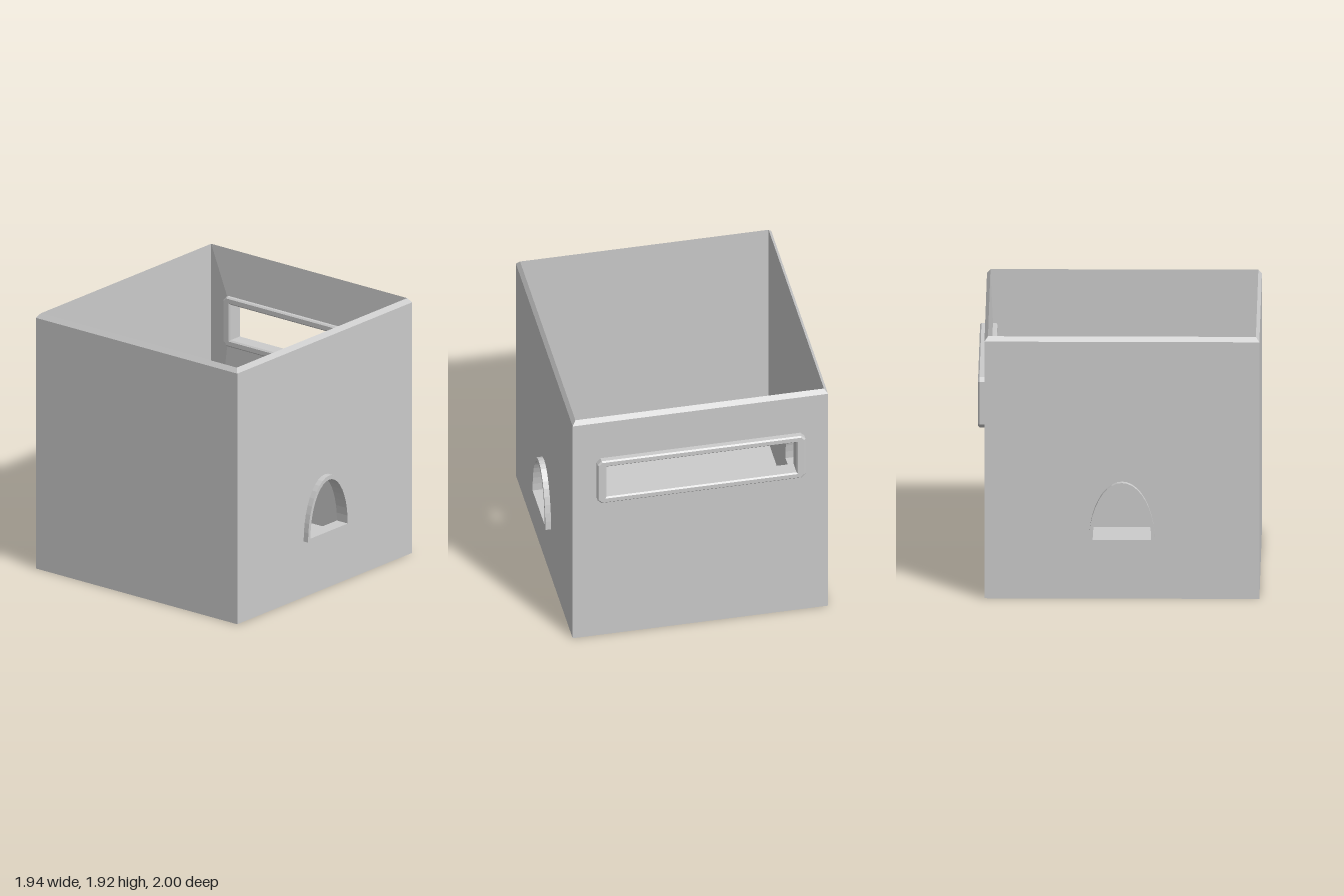
import * as THREE from 'three';

const X = 0.927, Z0 = -0.953, Z1 = 1.0, T = 0.025; // box outline and wall thickness
const WALL_TOP = 1.89, RIM_TOP = 1.923;

const grey = new THREE.MeshStandardMaterial({ color: 0xcccccc, flatShading: true });
const greyDouble = new THREE.MeshStandardMaterial({ color: 0xcccccc, flatShading: true, side: THREE.DoubleSide });

// Rectangle path with optional cut corners
function rect(x0, x1, y0, y1, cut = 0) {
  const pts = [[x0 + cut, y0], [x1 - cut, y0], [x1, y0 + cut], [x1, y1 - cut],
    [x1 - cut, y1], [x0 + cut, y1], [x0, y1 - cut], [x0, y0 + cut]];
  const used = cut ? pts : [[x0, y0], [x1, y0], [x1, y1], [x0, y1]];
  return new THREE.Shape(used.map(p => new THREE.Vector2(...p)));
}

// Half-ellipse arch with a flat sill
function arch(cx, y, rx, ry, n = 20) {
  const pts = [];
  for (let i = 0; i <= n; i++) {
    const a = Math.PI * i / n;
    pts.push(new THREE.Vector2(cx + rx * Math.cos(a), y + ry * Math.sin(a)));
  }
  return new THREE.Shape(pts);
}

function extrude(shape, hole, depth, bevel = 0) {
  if (hole) shape.holes.push(hole);
  return new THREE.ExtrudeGeometry(shape, {
    depth: depth - 2 * bevel, bevelEnabled: bevel > 0, bevelThickness: bevel,
    bevelSize: bevel, bevelOffset: -bevel, bevelSegments: 1,
  }).translate(0, 0, bevel);
}

// Skin between successive four-point loops
function loft(loops) {
  const index = [];
  for (let r = 0; r < loops.length - 1; r++) {
    for (let i = 0; i < 4; i++) {
      const a = r * 4 + i, b = r * 4 + (i + 1) % 4;
      index.push(a, b + 4, b, a, a + 4, b + 4);
    }
  }
  const geo = new THREE.BufferGeometry();
  geo.setAttribute('position', new THREE.Float32BufferAttribute(loops.flat(2), 3));
  geo.setIndex(index);
  const flat = geo.toNonIndexed();
  flat.computeVertexNormals();
  return flat;
}

export function createModel() {
  const group = new THREE.Group();
  const add = (name, geo, material = grey) => {
    const mesh = new THREE.Mesh(geo, material);
    mesh.name = name;
    group.add(mesh);
    return mesh;
  };

  // Floor and front wall
  add('floor', new THREE.BoxGeometry(2 * (X - T), T, Z1 - Z0 - 2 * T)
    .translate(0, T / 2, (Z0 + Z1) / 2));
  add('frontWall', extrude(rect(-X + T, X - T, 0, WALL_TOP), null, T).translate(0, 0, Z1 - T));

  // Back wall with the slot cut out
  add('backWall', extrude(rect(-X + T, X - T, 0, WALL_TOP),
    rect(-0.72, 0.72, 1.23, 1.55), T).translate(0, 0, Z0));

  // Side walls with arched openings, each lined by a projecting frame
  for (const [side, s] of [['right', -1], ['left', 1]]) {
    const place = (geo, from) => geo.rotateY(-Math.PI / 2).translate(from, 0, 0);
    add(side + 'Wall', place(extrude(rect(Z0, Z1, 0, WALL_TOP),
      arch(0.024, 0.43, 0.222, 0.415), T), s > 0 ? X : -X + T));
    add(side + 'ArchFrame', place(extrude(arch(0.024, 0.42, 0.235, 0.442),
      arch(0.024, 0.443, 0.208, 0.388), 0.1), s > 0 ? 0.968 : -0.868));
  }

  // Sloping rim around the open top
  const ring = (inset, y) => [[-X + inset, y, Z0 + inset], [X - inset, y, Z0 + inset],
    [X - inset, y, Z1 - inset], [-X + inset, y, Z1 - inset]];
  add('rim', loft([ring(0, WALL_TOP), ring(T, RIM_TOP), ring(T, WALL_TOP)]), greyDouble);

  // Inner back lining, swelling gently toward the slot frame
  const panel = (x, y0, y1, z) => [[-x, y0, z], [x, y0, z], [x, y1, z], [-x, y1, z]];
  add('backLining', loft([panel(X - T, T, RIM_TOP, Z0 + T),
    panel(0.735, 1.22, 1.56, -0.908)]), greyDouble);

  // Slot frame through the back wall
  add('slotFrame', extrude(rect(-0.755, 0.755, 1.203, 1.575, 0.03),
    rect(-0.69, 0.69, 1.255, 1.523), 0.123, 0.01).translate(0, 0, -1));

  return group;
}
